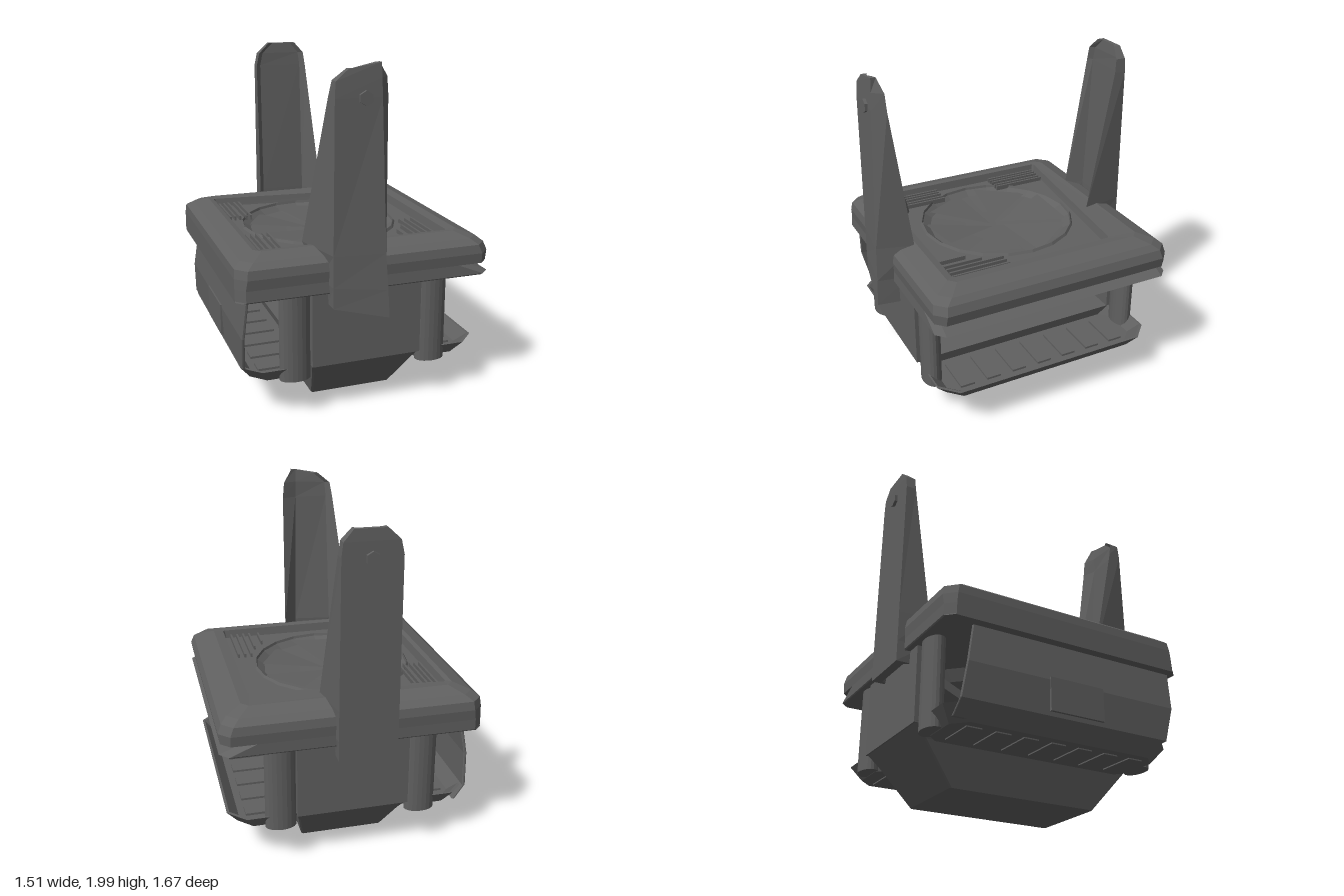
import * as THREE from 'three';

const darkGrey = new THREE.MeshStandardMaterial({ color: 0x606060, flatShading: true, side: THREE.DoubleSide });

function add(parent, name, geometry, x = 0, y = 0, z = 0) {
  const mesh = new THREE.Mesh(geometry, darkGrey);
  mesh.name = name;
  mesh.position.set(x, y, z);
  parent.add(mesh);
  return mesh;
}

// Skin over rings of [x, y, z] points, each counterclockwise seen from above
function loft(rings, capTop = true) {
  const pos = [];
  const n = rings[0].length;
  for (let r = 0; r + 1 < rings.length; r++) {
    const a = rings[r], b = rings[r + 1];
    for (let i = 0; i < n; i++) {
      const j = (i + 1) % n;
      pos.push(...a[i], ...a[j], ...b[j], ...a[i], ...b[j], ...b[i]);
    }
  }
  const cap = (ring, flip) => {
    const flat = ring.map(p => new THREE.Vector2(p[0], -p[2]));
    for (const [a, b, c] of THREE.ShapeUtils.triangulateShape(flat, [])) {
      pos.push(...ring[a], ...ring[flip ? c : b], ...ring[flip ? b : c]);
    }
  };
  cap(rings[0], true);
  if (capTop) cap(rings[rings.length - 1], false);
  const g = new THREE.BufferGeometry();
  g.setAttribute('position', new THREE.Float32BufferAttribute(pos, 3));
  g.computeVertexNormals();
  return g;
}

// Level rectangle with cut corners; skew pulls in its back right corner
function ring(y, x0, x1, z0, z1, c, skew = 0) {
  return [[x0, z0 + c], [x0, z1 - c], [x0 + c, z1], [x1 - c, z1],
    [x1, z1 - c], [x1, z0 + c + skew], [x1 - c, z0 + skew], [x0 + c, z0]].map(([x, z]) => [x, y, z]);
}

function lathe(points, sides) {
  return new THREE.LatheGeometry(points.map(p => new THREE.Vector2(...p)), sides);
}

// Channel-shaped upright: rows of two edges (left, right), each [y, x, z, tipX, tipZ]
function arm(rows, side, web) {
  return loft(rows.map(([l, r]) => {
    const inner = ([y, x, z, , tipZ], dx) => [x + dx, y, z - Math.min(web, (z - tipZ) * 0.6)];
    const pts = [[l[1], l[0], l[2]], [r[1], r[0], r[2]], [r[3], r[0], r[4]],
      inner(r, -0.03), inner(l, 0.03), [l[3], l[0], l[4]]];
    const out = pts.map(p => [p[0], p[1], p[2] * side]);
    return side < 0 ? out.reverse() : out;
  }));
}

export function createModel() {
  const model = new THREE.Group();
  model.name = 'platform';

  // Bevelled deck with a recessed centre
  add(model, 'deck', loft([
    ring(0.82, -0.755, 0.745, -0.775, 0.725, 0.05),
    ring(0.88, -0.755, 0.755, -0.78, 0.73, 0.06),
    ring(0.93, -0.75, 0.735, -0.77, 0.72, 0.06),
    ring(0.96, -0.71, 0.7, -0.73, 0.68, 0.06),
    ring(0.99, -0.62, 0.61, -0.64, 0.59, 0.04),
    ring(0.985, -0.59, 0.55, -0.58, 0.55, 0.01, 0.11),
    ring(0.935, -0.58, 0.54, -0.57, 0.54, 0.01, 0.11),
  ], false));

  // Lower lip, sprung open along one side
  add(model, 'deckLip', loft([
    ring(0.75, -0.755, 0.735, -0.77, 0.725, 0.04),
    ring(0.757, -0.755, 0.755, -0.775, 0.73, 0.05),
    ring(0.82, -0.755, 0.6, -0.775, 0.725, 0.05),
  ]));

  // Recess floor around the round dish
  const cx = -0.05, cz = -0.02, radius = 0.465;
  const floor = new THREE.Shape([[-0.58, -0.54], [0.54, -0.54], [0.54, 0.46], [-0.58, 0.57]]
    .map(p => new THREE.Vector2(...p)));
  floor.holes.push(new THREE.Path().absarc(cx, -cz, radius, 0, Math.PI * 2, true));
  add(model, 'recessFloor', new THREE.ShapeGeometry(floor, 12), 0, 0.935, 0).rotation.x = -Math.PI / 2;
  add(model, 'dish', lathe([[0, 0.885], [0.2, 0.89], [0.42, 0.905], [radius, 0.935],
    [radius + 0.005, 0.95], [radius + 0.015, 0.935]], 20), cx, 0, cz);

  // Broad slanted blades in the dish
  for (let i = 0; i < 6; i++) {
    const a = i * Math.PI / 3;
    const at = (r, t, y) => [r * Math.cos(a + t), y, r * Math.sin(a + t)];
    const g = new THREE.BufferGeometry();
    g.setAttribute('position', new THREE.Float32BufferAttribute(
      [...at(0.04, 0, 0.9), ...at(0.45, 0.9, 0.915), ...at(0.43, 0.1, 0.945)], 3));
    g.computeVertexNormals();
    add(model, 'blade', g, cx, 0, cz);
  }

  // Grille slats beside the dish: [x, z centre, length]
  const slats = [[0.32, 0.45, 0.16], [0.38, 0.41, 0.24]];
  for (const x of [-0.56, -0.53, -0.5, -0.46, -0.43]) slats.push([x, 0.35, 0.36], [x, -0.38, 0.34]);
  for (const x of [0.42, 0.46, 0.5]) slats.push([x, 0.35, 0.36]);
  for (const [x, z, length] of slats) {
    add(model, 'grilleSlat', new THREE.BoxGeometry(0.012, 0.03, length), x, 0.945, z);
  }

  // Narrow housing and ribbed hub under the deck
  add(model, 'housing', lathe([[0, 0.64], [0.25, 0.64], [0.42, 0.68], [0.46, 0.75]], 20), cx, 0, cz).scale.x = 0.5;
  add(model, 'hub', new THREE.CylinderGeometry(0.12, 0.11, 0.11, 20), cx, 0.585, cz);
  for (let i = 0; i < 16; i++) {
    const a = i * Math.PI / 8;
    add(model, 'hubRib', new THREE.BoxGeometry(0.015, 0.09, 0.015),
      cx + 0.12 * Math.cos(a), 0.59, cz + 0.12 * Math.sin(a));
  }
  for (const [z, tilt] of [[0.47, -0.42], [-0.51, 0.42]]) {
    add(model, 'hangingBracket', new THREE.BoxGeometry(0.36, 0.05, 0.26), -0.05, 0.6, z).rotation.x = tilt;
  }

  // Tapered keel and the two end walls
  add(model, 'keel', loft([
    ring(0.015, -0.25, 0.25, -0.48, 0.44, 0.01),
    ring(0.24, -0.305, 0.305, -0.665, 0.63, 0.01),
    ring(0.32, -0.328, 0.328, -0.74, 0.7, 0.01),
  ]));
  for (const z of [0.65, -0.69]) {
    add(model, 'endWall', new THREE.BoxGeometry(0.655, 0.45, 0.1), 0, 0.535, z);
  }

  for (const s of [-1, 1]) {
    // Shallow side trays with ribs across them
    const tray = (y, inner, outer, z0, z1, c) =>
      ring(y, s > 0 ? inner : -outer, s > 0 ? outer : -inner, z0, z1, c);
    add(model, 'sideTray', loft([
      tray(0.235, 0.28, 0.65, -0.66, 0.62, 0.08),
      tray(0.32, 0.28, 0.715, -0.72, 0.69, 0.1),
      tray(0.32, 0.29, 0.7, -0.71, 0.68, 0.1),
      tray(0.255, 0.29, 0.64, -0.65, 0.61, 0.08),
    ]));
    for (let i = 0; i < 7; i++) {
      add(model, 'trayRib', new THREE.BoxGeometry(0.24, 0.04, 0.09), s * 0.48, 0.248, -0.53 + i * 0.17);
    }
    // Oval corner posts
    for (const z of [0.645, -0.685]) {
      add(model, 'post', new THREE.CylinderGeometry(0.09, 0.09, 0.515, 20), s * 0.415, 0.495, z).scale.z = 0.62;
    }
  }

  // Side panel closing one flank, with its hatch
  const panelRows = [[0.25, -0.65, -0.68, 0.5], [0.33, -0.715, -0.67, 0.63],
    [0.53, -0.725, -0.64, 0.68], [0.75, -0.7, -0.6, 0.69]];
  add(model, 'sidePanel', loft(panelRows.map(([y, x, z0, z1]) => ring(y, x, x + 0.018, z0, z1, 0.004))));
  add(model, 'hatch', new THREE.BoxGeometry(0.02, 0.19, 0.34), -0.722, 0.45, 0.02);
  add(model, 'innerRail', new THREE.BoxGeometry(0.02, 0.025, 0.6), -0.7, 0.47, 0.3);

  // Channel-shaped uprights, front and back
  add(model, 'frontArm', arm([
    [[0.68, -0.235, 0.785, -0.235, 0.69], [0.61, 0.075, 0.835, 0.1, 0.66]],
    [[0.8, -0.235, 0.785, -0.25, 0.6], [0.77, 0.068, 0.826, 0.1, 0.62]],
    [[0.98, -0.235, 0.782, -0.31, 0.465], [0.98, 0.055, 0.816, 0.115, 0.6]],
    [[1.82, -0.228, 0.775, -0.235, 0.69], [1.82, 0.035, 0.78, 0.095, 0.71]],
    [[1.91, -0.222, 0.77, -0.222, 0.71], [1.92, 0.032, 0.775, 0.085, 0.715]],
    [[1.97, -0.15, 0.765, -0.15, 0.73], [2.0, 0.03, 0.77, 0.03, 0.74]],
  ], 1, 0.13));
  add(model, 'backArm', arm([
    [[0.68, -0.23, 0.818, -0.23, 0.73], [0.68, 0.11, 0.818, 0.11, 0.73]],
    [[0.8, -0.23, 0.818, -0.24, 0.65], [0.8, 0.11, 0.818, 0.14, 0.6]],
    [[0.98, -0.23, 0.818, -0.25, 0.64], [0.98, 0.11, 0.818, 0.155, 0.555]],
    [[1.83, -0.228, 0.815, -0.228, 0.755], [1.83, 0.105, 0.815, 0.105, 0.745]],
    [[1.91, -0.21, 0.815, -0.21, 0.755], [1.91, 0.095, 0.815, 0.095, 0.755]],
    [[1.975, -0.14, 0.812, -0.14, 0.77], [1.975, 0.04, 0.812, 0.04, 0.77]],
  ], -1, 0.07));
  for (const z of [0.782, -0.82]) {
    add(model, 'bolt', new THREE.CylinderGeometry(0.04, 0.04, 0.025, 6), -0.06, 1.82, z).rotation.x = Math.PI / 2;
  }

  return model;
}
